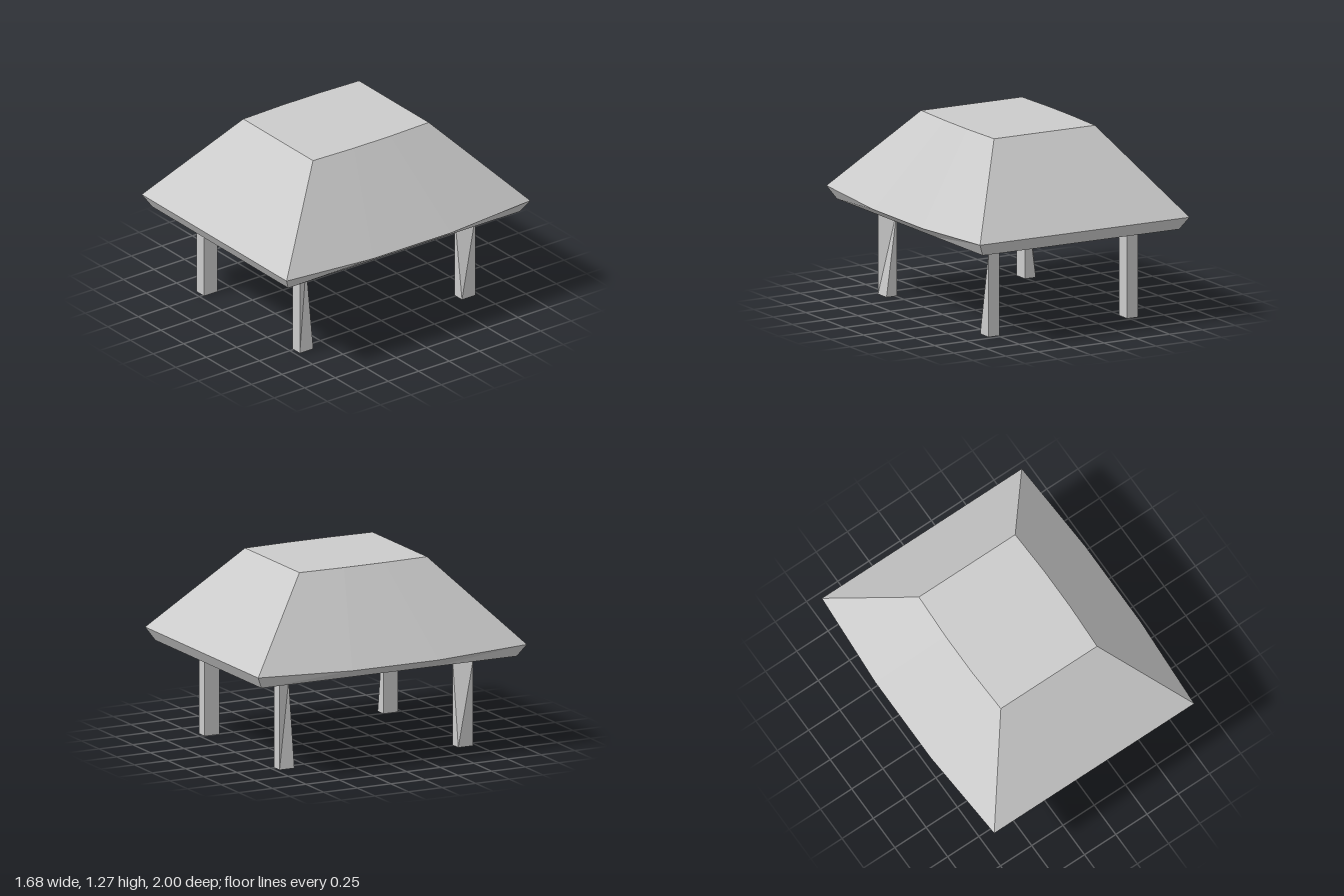
import * as THREE from 'three';

// Skin between stacked rings (each counterclockwise from above), with optional end caps
function loft(rings, capBottom, capTop) {
  const pos = [];
  const tri = (a, b, c) => pos.push(...a, ...b, ...c);
  for (let r = 0; r + 1 < rings.length; r++) {
    const lo = rings[r], hi = rings[r + 1], n = lo.length;
    for (let i = 0; i < n; i++) {
      const j = (i + 1) % n;
      tri(lo[i], lo[j], hi[j]);
      tri(lo[i], hi[j], hi[i]);
    }
  }
  const bottom = rings[0], top = rings[rings.length - 1];
  for (let i = 1; i + 1 < top.length; i++) {
    if (capBottom) tri(bottom[0], bottom[i + 1], bottom[i]);
    if (capTop) tri(top[0], top[i], top[i + 1]);
  }
  const g = new THREE.BufferGeometry();
  g.setAttribute('position', new THREE.Float32BufferAttribute(pos, 3));
  g.computeVertexNormals();
  return g;
}

// Rectangular ring whose long sides have two inner points of their own width and height
function bowedRing(x, y, z, midX, midY, midZ) {
  const side = [[x, y, z], [midX, midY, midZ], [midX, midY, -midZ], [x, y, -z]];
  return [...side, ...side.map(([a, b, c]) => [-a, b, -c])];
}

export function createModel() {
  const group = new THREE.Group();
  const solid = new THREE.MeshStandardMaterial({ color: 0xcccccc, flatShading: true });
  const shell = new THREE.MeshStandardMaterial({ color: 0xcccccc, flatShading: true, side: THREE.DoubleSide });
  const add = (name, geometry, material = solid) => {
    const mesh = new THREE.Mesh(geometry, material);
    mesh.name = name;
    group.add(mesh);
    return mesh;
  };

  // Hollow roof: bevelled rim, bowed eaves, flat top
  add('roof', loft([
    bowedRing(0.75, 0.62, 0.95, 0.75, 0.62, 0.32),
    bowedRing(0.8, 0.705, 1, 0.84, 0.685, 0.32),
    bowedRing(0.385, 1.27, 0.475, 0.397, 1.27, 0.15),
  ], false, true), shell);

  // Beam frame with side beams that thicken towards the middle
  const outline = new THREE.Shape([[0.57, 0.72], [-0.57, 0.72], [-0.57, -0.72], [0.57, -0.72]]
    .map(([x, z]) => new THREE.Vector2(x, z)));
  outline.holes.push(new THREE.Path(bowedRing(0.49, 0, 0.61, 0.44, 0, 0.25)
    .map(([x, , z]) => new THREE.Vector2(x, z))));
  const frame = new THREE.ExtrudeGeometry(outline, { depth: 0.16, bevelEnabled: false });
  frame.rotateX(Math.PI / 2).translate(0, 0.74, 0);
  add('beamFrame', frame);

  // Ceiling panel inside the frame
  add('ceiling', new THREE.BoxGeometry(1.06, 0.03, 1.36).translate(0, 0.715, 0));

  // Legs: the outer inside corner twists in towards the top
  for (const sx of [1, -1]) {
    for (const sz of [1, -1]) {
      const ring = (y, twistX) => {
        const pts = [[0.57, 0.72], [twistX, 0.61], [0.488, 0.61], [0.488, 0.72]]
          .map(([x, z]) => [sx * x, y, sz * z]);
        return sx * sz > 0 ? pts : pts.reverse();
      };
      const name = (sz > 0 ? 'front' : 'back') + (sx > 0 ? 'Left' : 'Right') + 'Leg';
      add(name, loft([ring(0, 0.57), ring(0.58, 0.49)], true, false));
    }
  }
  return group;
}
